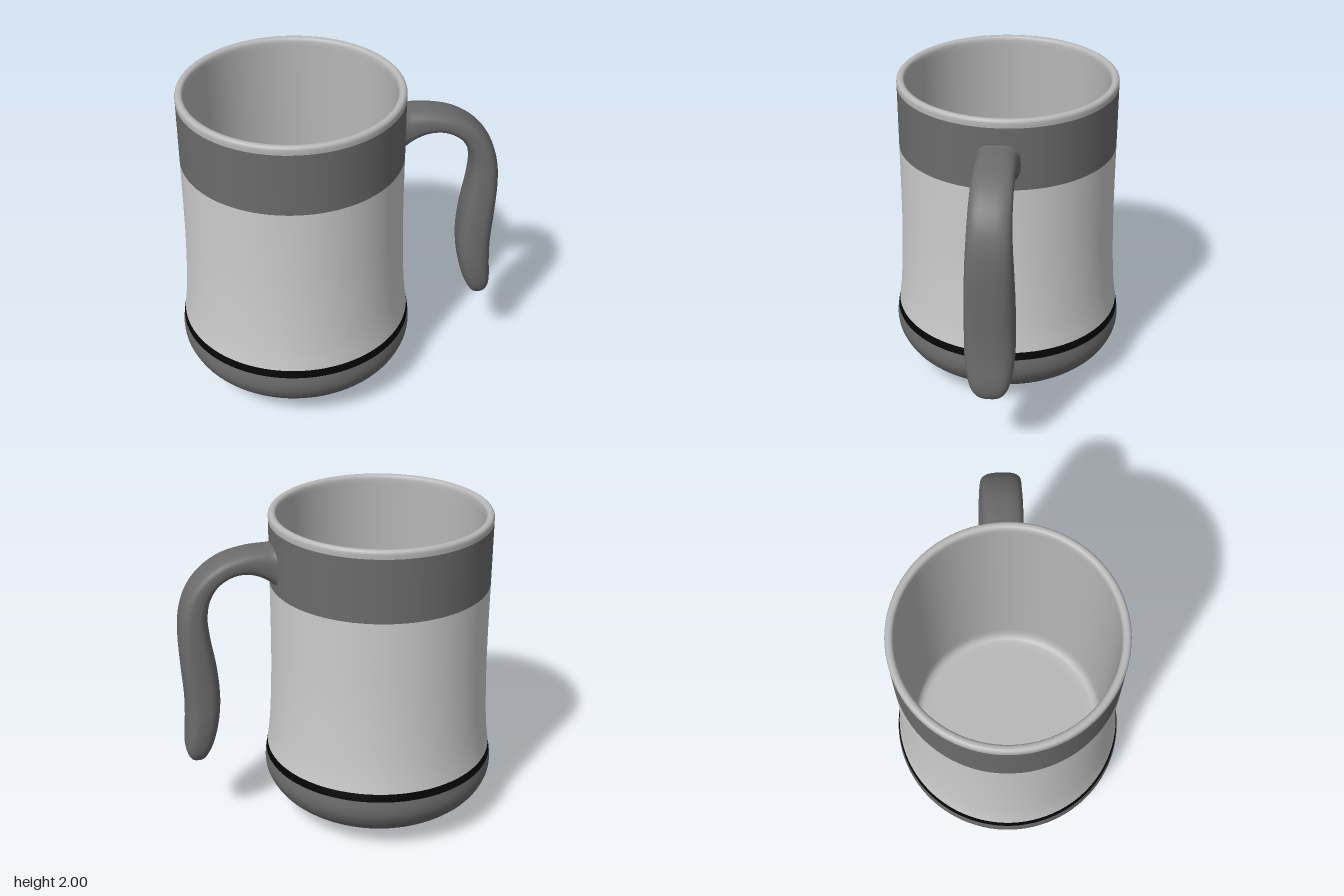
import * as THREE from 'three';

const CENTER_X = -0.26;
const mat = (color) => new THREE.MeshStandardMaterial({ color });
const light = mat(0xcccccc), lining = mat(0xb7b7b7), dark = mat(0x6b6b6b), black = mat(0x050505);

// Turned band: smooth profile of [radius, y] points around the cup axis
function band(name, points, material, samples = 24) {
  const curve = new THREE.SplineCurve(points.map(([r, y]) => new THREE.Vector2(r, y)));
  const mesh = new THREE.Mesh(new THREE.LatheGeometry(curve.getPoints(samples), 96), material);
  mesh.name = name;
  mesh.position.x = CENTER_X;
  return mesh;
}

// Handle: stations of [outer x, outer y, inner x, inner y, half width], lofted as rounded sections
function handleGeometry() {
  const stations = [
    [0.37, 1.86, 0.37, 1.56, 0.145], [0.415, 1.844, 0.415, 1.612, 0.128], [0.475, 1.841, 0.48, 1.658, 0.122],
    [0.565, 1.834, 0.555, 1.688, 0.12], [0.705, 1.80, 0.645, 1.688, 0.12], [0.835, 1.72, 0.735, 1.64, 0.122],
    [0.925, 1.61, 0.79, 1.555, 0.125], [0.973, 1.48, 0.812, 1.45, 0.13], [0.989, 1.33, 0.806, 1.33, 0.137],
    [0.983, 1.1, 0.772, 1.1, 0.145], [0.972, 0.9, 0.761, 0.9, 0.148], [0.976, 0.74, 0.778, 0.74, 0.146],
    [0.986, 0.62, 0.81, 0.61, 0.132], [0.986, 0.55, 0.84, 0.54, 0.113], [0.972, 0.5, 0.866, 0.494, 0.085],
    [0.949, 0.473, 0.888, 0.472, 0.05], [0.919, 0.464, 0.916, 0.464, 0.002],
  ];
  const outer = new THREE.CatmullRomCurve3(stations.map((s) => new THREE.Vector3(s[0], s[1], s[4])));
  const inner = new THREE.CatmullRomCurve3(stations.map((s) => new THREE.Vector3(s[2], s[3], s[4])));
  const rows = 96, sides = 32, position = [], index = [];
  const round = (v) => Math.sign(v) * Math.abs(v) ** 0.7;
  for (let i = 0; i <= rows; i++) {
    const a = outer.getPoint(i / rows), b = inner.getPoint(i / rows);
    for (let j = 0; j < sides; j++) {
      const t = (j / sides) * Math.PI * 2;
      const c = round(Math.cos(t)), s = round(Math.sin(t));
      position.push((a.x + b.x + c * (a.x - b.x)) / 2, (a.y + b.y + c * (a.y - b.y)) / 2, s * a.z);
      if (i < rows) {
        const p = i * sides + j, q = i * sides + (j + 1) % sides;
        index.push(p, q, p + sides, q, q + sides, p + sides);
      }
    }
  }
  // Close the tip
  const last = rows * sides;
  for (let j = 1; j < sides - 1; j++) index.push(last, last + j, last + j + 1);
  const geometry = new THREE.BufferGeometry();
  geometry.setAttribute('position', new THREE.Float32BufferAttribute(position, 3));
  geometry.setIndex(index);
  geometry.computeVertexNormals();
  return geometry;
}

export function createModel() {
  const mug = new THREE.Group();
  mug.name = 'mug';

  // Outside of the cup, from the bottom up
  mug.add(band('base', [[0, 0], [0.1, 0], [0.22, 0.004], [0.34, 0.022], [0.47, 0.06], [0.58, 0.115],
    [0.67, 0.19], [0.715, 0.265], [0.728, 0.33], [0.721, 0.4]], dark, 48));
  mug.add(band('stripe', [[0.721, 0.4], [0.717, 0.425], [0.712, 0.45]], black, 4));
  mug.add(band('body', [[0.712, 0.45], [0.699, 0.55], [0.689, 0.67], [0.68, 0.85], [0.674, 1.05],
    [0.672, 1.3], [0.672, 1.56]], light));
  mug.add(band('upperBand', [[0.672, 1.56], [0.672, 1.75], [0.672, 1.95]], dark, 4));

  // Rounded lip
  mug.add(band('rim', [[0.672, 1.95], [0.672, 1.982], [0.662, 1.997], [0.647, 2], [0.632, 1.994],
    [0.624, 1.978], [0.622, 1.95]], lining));

  // Inside wall and floor
  mug.add(band('innerWall', [[0.622, 1.95], [0.62, 1.4], [0.62, 0.9], [0.62, 0.42]], lining, 12));
  mug.add(band('innerFloor', [[0.62, 0.42], [0.614, 0.375], [0.597, 0.345], [0.56, 0.33], [0.45, 0.327],
    [0.2, 0.327], [0, 0.327]], lining, 36));

  const handle = new THREE.Mesh(handleGeometry(), dark);
  handle.name = 'handle';
  mug.add(handle);
  return mug;
}
